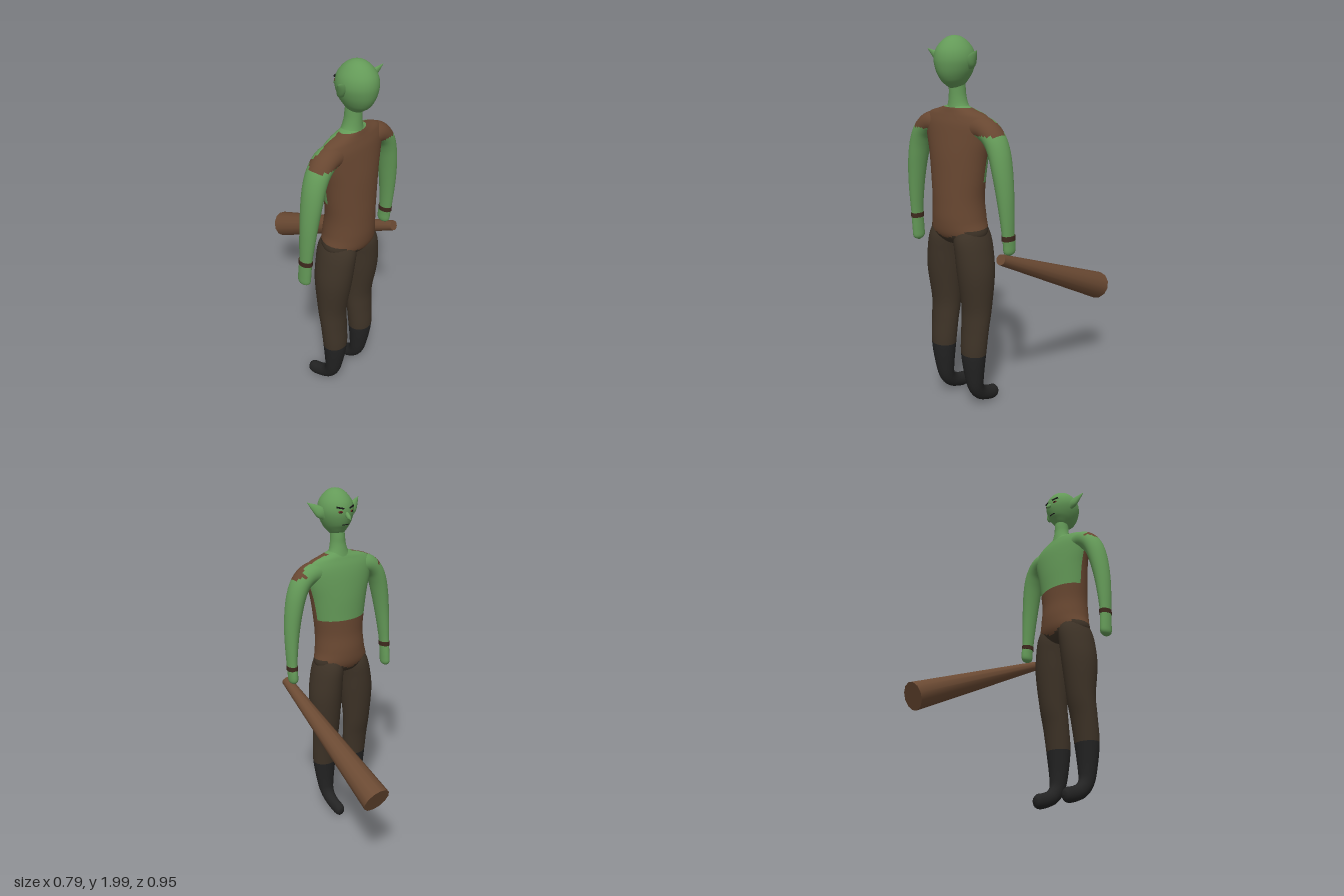
import * as THREE from 'three';

const mat = (name, color) => {
  const m = new THREE.MeshStandardMaterial({ color });
  m.name = name;
  return m;
};

// Smooth loft through rows [x, y, z, radiusU, radiusV]; pick(x, y, z) returns a material per face
function loft(name, rows, uAxis, pick, steps = 5, sides = 28) {
  const path = new THREE.CatmullRomCurve3(rows.map(r => new THREE.Vector3(r[0], r[1], r[2])), false, 'catmullrom');
  const radii = new THREE.CatmullRomCurve3(rows.map(r => new THREE.Vector3(r[3], r[4], 0)), false, 'catmullrom');
  const n = (rows.length - 1) * steps, pos = [], buckets = new Map();
  for (let i = 0; i <= n; i++) {
    const c = path.getPoint(i / n), r = radii.getPoint(i / n), t = path.getTangent(i / n);
    const u = uAxis.clone().addScaledVector(t, -t.dot(uAxis)).normalize();
    const v = t.clone().cross(u);
    for (let j = 0; j < sides; j++) {
      const a = j / sides * Math.PI * 2;
      const p = c.clone().addScaledVector(u, Math.cos(a) * Math.max(r.x, 0.0005))
        .addScaledVector(v, Math.sin(a) * Math.max(r.y, 0.0005));
      pos.push(p.x, p.y, p.z);
    }
  }
  for (let i = 0; i < n; i++) for (let j = 0; j < sides; j++) {
    const k = (j + 1) % sides;
    const a = i * sides + j, b = i * sides + k, c = b + sides, d = a + sides;
    const mid = [0, 1, 2].map(q => (pos[a * 3 + q] + pos[b * 3 + q] + pos[c * 3 + q] + pos[d * 3 + q]) / 4);
    const m = pick(...mid);
    if (!buckets.has(m)) buckets.set(m, []);
    buckets.get(m).push(a, b, c, a, c, d);
  }
  const geo = new THREE.BufferGeometry(), index = [], mats = [];
  for (const [m, list] of buckets) {
    geo.addGroup(index.length, list.length, mats.length);
    mats.push(m);
    for (const q of list) index.push(q);
  }
  geo.setAttribute('position', new THREE.Float32BufferAttribute(pos, 3));
  geo.setIndex(index);
  geo.computeVertexNormals();
  const mesh = new THREE.Mesh(geo, mats);
  mesh.name = name;
  return mesh;
}

export function createModel() {
  const skin = mat('green skin', 0x649a58), shirt = mat('brown shirt', 0x684731);
  const trousers = mat('dark trousers', 0x3e3327), boots = mat('black boots', 0x232323);
  const wood = mat('club wood', 0x6b4a33), band = mat('wristband brown', 0x3f2a1e);
  const eyeRed = mat('eye red', 0x6a2a22), black = mat('brow black', 0x161616);
  const X = new THREE.Vector3(1, 0, 0), Z = new THREE.Vector3(0, 0, 1), Y = new THREE.Vector3(0, 1, 0);

  const root = new THREE.Group();
  root.name = 'clubBearer';
  const body = new THREE.Group();
  body.name = 'body';
  body.position.x = -0.03;
  root.add(body);
  const add = (name, geo, m, x, y, z) => {
    const mesh = new THREE.Mesh(geo, m);
    mesh.name = name;
    mesh.position.set(x, y, z);
    body.add(mesh);
    return mesh;
  };

  // Torso: bare chest on the -z side, shirt around the back and belly
  body.add(loft('torso', [
    [0, 0.94, 0.345, 0.002, 0.002], [0, 0.95, 0.345, 0.10, 0.07], [0, 1.0, 0.345, 0.167, 0.115],
    [0, 1.08, 0.348, 0.155, 0.126], [0, 1.18, 0.352, 0.15, 0.119], [0, 1.28, 0.35, 0.162, 0.114],
    [0, 1.4, 0.346, 0.183, 0.107], [0, 1.5, 0.343, 0.212, 0.094], [0, 1.57, 0.343, 0.228, 0.08],
    [0, 1.615, 0.344, 0.195, 0.064], [0, 1.64, 0.345, 0.12, 0.054], [0, 1.66, 0.345, 0.05, 0.045],
  ], X, (x, y, z) => {
    if (y < 0.98 + Math.abs(x) * 0.38) return trousers;
    return y > 1.28 && z < 0.325 || y > 1.65 ? skin : shirt;
  }, 6, 40));

  body.add(loft('neck', [
    [0, 1.62, 0.342, 0.085, 0.058], [0, 1.66, 0.343, 0.056, 0.051], [0, 1.70, 0.345, 0.044, 0.046],
    [0, 1.74, 0.346, 0.04, 0.045], [0, 1.79, 0.35, 0.038, 0.043],
  ], X, () => skin));

  // Egg-shaped head
  body.add(loft('head', [
    [0, 1.742, 0.352, 0.002, 0.002], [0, 1.748, 0.353, 0.028, 0.035], [0, 1.77, 0.355, 0.049, 0.063],
    [0, 1.8, 0.358, 0.07, 0.088], [0, 1.84, 0.36, 0.088, 0.104], [0, 1.885, 0.36, 0.097, 0.11],
    [0, 1.93, 0.36, 0.088, 0.1], [0, 1.97, 0.36, 0.061, 0.07], [0, 1.993, 0.36, 0.03, 0.034],
    [0, 2.0, 0.36, 0.001, 0.001],
  ], X, () => skin));

  // Face, looking toward -z
  body.add(loft('nose', [
    [0, 1.885, 0.262, 0.006, 0.006], [0, 1.868, 0.248, 0.012, 0.012],
    [0, 1.853, 0.232, 0.011, 0.011], [0, 1.845, 0.22, 0.001, 0.001],
  ], X, () => skin, 4, 12));
  add('mouth', new THREE.BoxGeometry(0.04, 0.005, 0.008), black, 0, 1.812, 0.270);

  for (const s of [-1, 1]) {
    const side = s > 0 ? 'left' : 'right';

    const eye = add(side + 'Eye', new THREE.SphereGeometry(0.013, 14, 10), eyeRed, s * 0.037, 1.884, 0.259);
    eye.scale.set(1, 0.5, 0.3);
    eye.rotation.y = -s * 0.4;
    const pupil = add(side + 'Pupil', new THREE.SphereGeometry(0.005, 10, 8), black, s * 0.037, 1.884, 0.256);
    pupil.scale.z = 0.4;
    const brow = add(side + 'Brow', new THREE.BoxGeometry(0.042, 0.008, 0.009), black, s * 0.037, 1.906, 0.262);
    brow.rotation.set(0, -s * 0.4, s * 0.2);

    // Pointed ear
    body.add(loft(side + 'Ear', [
      [s * 0.08, 1.855, 0.345, 0.012, 0.022], [s * 0.105, 1.877, 0.352, 0.018, 0.032],
      [s * 0.135, 1.903, 0.364, 0.012, 0.021], [s * 0.171, 1.932, 0.38, 0.001, 0.001],
    ], Z, () => skin, 4, 14));

    // Arm with a ragged sleeve; the gripping hand is shorter
    const tip = s > 0 ? 0.93 : 0.88;
    body.add(loft(side + 'Arm', [
      [s * 0.09, 1.55, 0.345, 0.06, 0.066], [s * 0.185, 1.555, 0.345, 0.065, 0.06],
      [s * 0.245, 1.515, 0.347, 0.064, 0.055], [s * 0.28, 1.45, 0.348, 0.062, 0.052],
      [s * 0.303, 1.36, 0.35, 0.058, 0.048], [s * 0.32, 1.25, 0.35, 0.05, 0.042],
      [s * 0.33, 1.14, 0.347, 0.043, 0.034], [s * 0.335, 1.04, 0.343, 0.037, 0.027],
      [s * 0.336, tip + 0.065, 0.337, 0.038, 0.026], [s * 0.336, tip + 0.02, 0.335, 0.034, 0.023],
      [s * 0.336, tip, 0.335, 0.002, 0.002],
    ], Z, (x, y, z) =>
      y > 1.53 && (z > 0.325 || Math.abs(x) > 0.25 && y > 1.55) ? shirt : skin));
    const cuff = add(side + 'Wristband', new THREE.CylinderGeometry(1, 1, 0.026, 24), band, s * 0.335, 1.028, 0.342);
    cuff.scale.set(0.0295, 1, 0.0395);

    // Trouser leg flowing into a boot
    body.add(loft(side + 'Leg', [
      [s * 0.075, 1.04, 0.347, 0.068, 0.095], [s * 0.088, 0.98, 0.345, 0.083, 0.112],
      [s * 0.102, 0.9, 0.345, 0.091, 0.112], [s * 0.113, 0.78, 0.345, 0.096, 0.103],
      [s * 0.114, 0.6, 0.345, 0.084, 0.078], [s * 0.114, 0.48, 0.36, 0.08, 0.067],
      [s * 0.114, 0.34, 0.374, 0.072, 0.064], [s * 0.114, 0.2, 0.37, 0.054, 0.05],
      [s * 0.114, 0.13, 0.357, 0.043, 0.043], [s * 0.114, 0.085, 0.322, 0.036, 0.041],
      [s * 0.114, 0.06, 0.272, 0.033, 0.04], [s * 0.114, 0.047, 0.222, 0.031, 0.04],
      [s * 0.114, 0.044, 0.2, 0.022, 0.026], [s * 0.114, 0.043, 0.193, 0.001, 0.001],
    ], X, (x, y) => y < 0.34 ? boots : trousers));
  }

  // Tapered club held low
  const grip = new THREE.Vector3(0.31, 0.93, 0.405), end = new THREE.Vector3(0.313, 0.55, -0.448);
  const club = new THREE.Mesh(new THREE.CylinderGeometry(0.078, 0.028, grip.distanceTo(end), 12), wood);
  club.name = 'club';
  club.position.copy(grip).lerp(end, 0.5);
  club.quaternion.setFromUnitVectors(Y, end.clone().sub(grip).normalize());
  root.add(club);

  return root;
}
